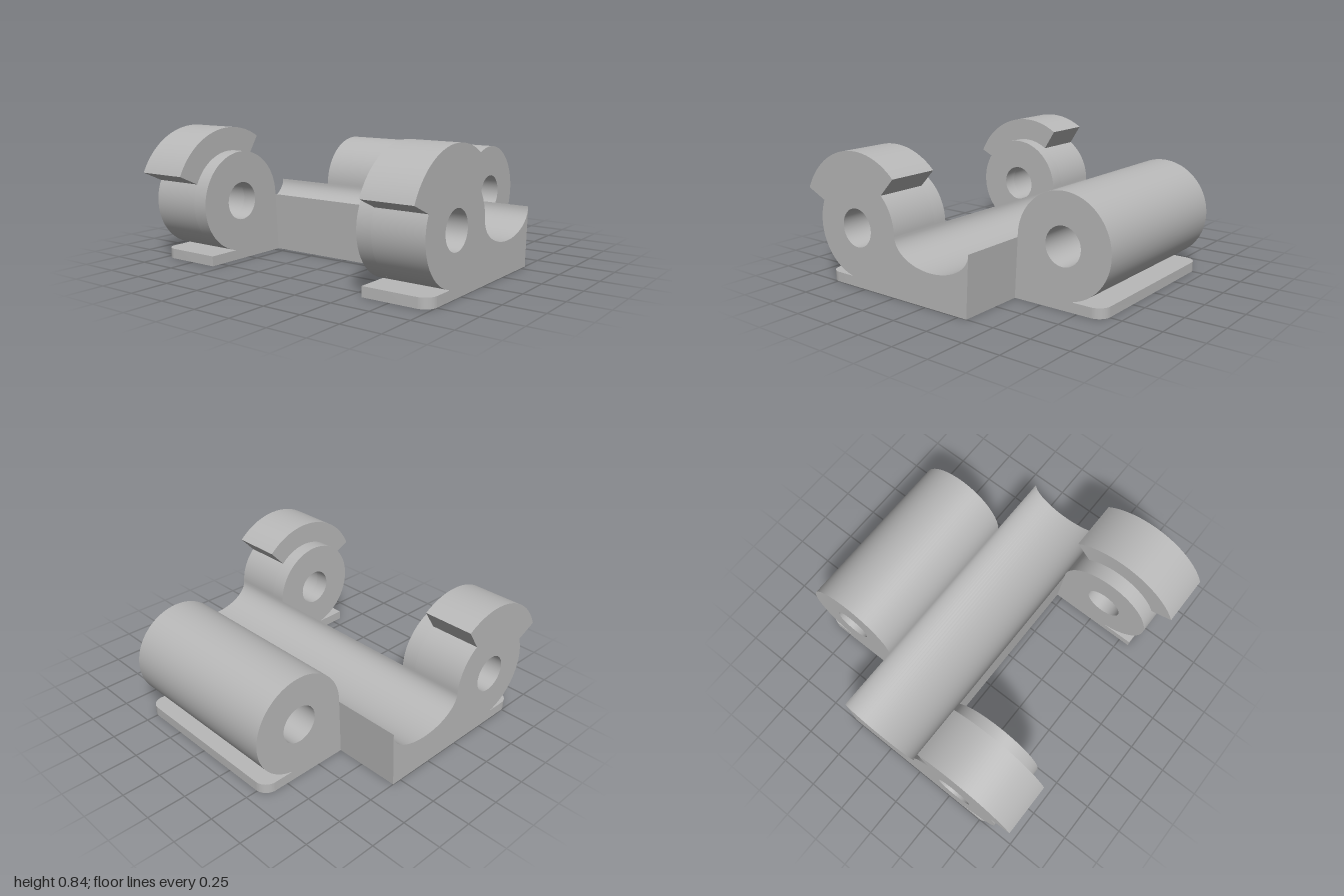
import * as THREE from 'three';
import { toCreasedNormals } from 'three/addons/utils/BufferGeometryUtils.js';

const MID = 0.05;      // x of the mirror plane between the two barrel axes
const ARM = 0.6;       // distance of each axis from that plane
const AXIS_Y = 0.376, R = 0.317, HOOK_R = 0.466, HOLE_R = 0.12;
const PLATE_Y = 0.063;
const EDGE_X = ARM - R, FOOT_X = 0.26; // top and foot of the sloped trough wall
const rad = THREE.MathUtils.degToRad;

// Points on an arc round a barrel axis, s = +1 or -1 side
function arc(s, r, from, to, n) {
  return Array.from({ length: n + 1 }, (_, i) => {
    const a = rad(from + (to - from) * i / n);
    return new THREE.Vector2(MID + s * (ARM + r * Math.cos(a)), AXIS_Y + r * Math.sin(a));
  });
}

// Barrel outline, optionally with a raised hook between two angles
function barrelShape(s, hook) {
  const pts = [new THREE.Vector2(MID + s * FOOT_X, 0)];
  if (hook) {
    pts.push(...arc(s, R, 180, hook[0], 16), ...arc(s, HOOK_R, hook[0], hook[1], 36), ...arc(s, R, hook[1], -78, 30));
  } else {
    pts.push(...arc(s, R, 180, -78, 72));
  }
  const footX = MID + s * (ARM + 0.065);
  pts.push(new THREE.Vector2(footX, PLATE_Y), new THREE.Vector2(footX, 0));
  const shape = new THREE.Shape(pts);
  shape.holes.push(new THREE.Path(arc(s, HOLE_R, 0, 360, 40).slice(0, -1)));
  return shape;
}

export function createModel() {
  const model = new THREE.Group();
  model.name = 'hingeBracket';
  const grey = new THREE.MeshStandardMaterial({ color: 0xb8b8b8 });
  grey.name = 'grey';

  function extrude(name, shape, z0, z1) {
    const geo = new THREE.ExtrudeGeometry(shape, { depth: z1 - z0, bevelEnabled: false, curveSegments: 10 });
    geo.translate(0, 0, z0);
    const mesh = new THREE.Mesh(toCreasedNormals(geo, 0.4), grey);
    mesh.name = name;
    model.add(mesh);
    return mesh;
  }

  // Central block with the elliptical trough
  const trough = [new THREE.Vector2(MID - FOOT_X, 0), new THREE.Vector2(MID + FOOT_X, 0)];
  for (let i = 0; i <= 40; i++) {
    const a = Math.PI * i / 40;
    trough.push(new THREE.Vector2(MID + EDGE_X * Math.cos(a), AXIS_Y - 0.164 * Math.sin(a)));
  }
  extrude('troughBlock', new THREE.Shape(trough), -1, 1);

  // Long barrel on the left, two short hooked barrels on the right
  extrude('longBarrel', barrelShape(1), -0.57, 0.57);
  extrude('frontBarrel', barrelShape(-1), 0.57, 0.667);
  extrude('frontHookedBarrel', barrelShape(-1, [133.5, 24.5]), 0.667, 1);
  extrude('backBarrel', barrelShape(-1), -0.667, -0.57);
  extrude('backHookedBarrel', barrelShape(-1, [122.5, 24.5]), -1, -0.667);

  // Thin foot plates, drawn in x and -z, with chosen outer corners rounded
  function plate(name, s, z0, z1, roundLow, roundHigh) {
    const xi = MID + s * (ARM + 0.065), xo = MID + s * 0.87, c = 0.08;
    const shape = new THREE.Shape();
    shape.moveTo(xi, z0);
    if (roundLow) {
      shape.lineTo(xo - s * c, z0);
      shape.absarc(xo - s * c, z0 + c, c, -Math.PI / 2, s > 0 ? 0 : -Math.PI, s < 0);
    } else shape.lineTo(xo, z0);
    if (roundHigh) {
      shape.lineTo(xo, z1 - c);
      shape.absarc(xo - s * c, z1 - c, c, s > 0 ? 0 : Math.PI, Math.PI / 2, s < 0);
    } else shape.lineTo(xo, z1);
    shape.lineTo(xi, z1);
    extrude(name, shape, 0, PLATE_Y).rotation.x = -Math.PI / 2;
  }
  plate('longFootPlate', 1, -0.57, 0.57, true, true);
  plate('frontFootPlate', -1, -1, -0.57, true, false);
  plate('backFootPlate', -1, 0.57, 1, false, true);

  return model;
}
